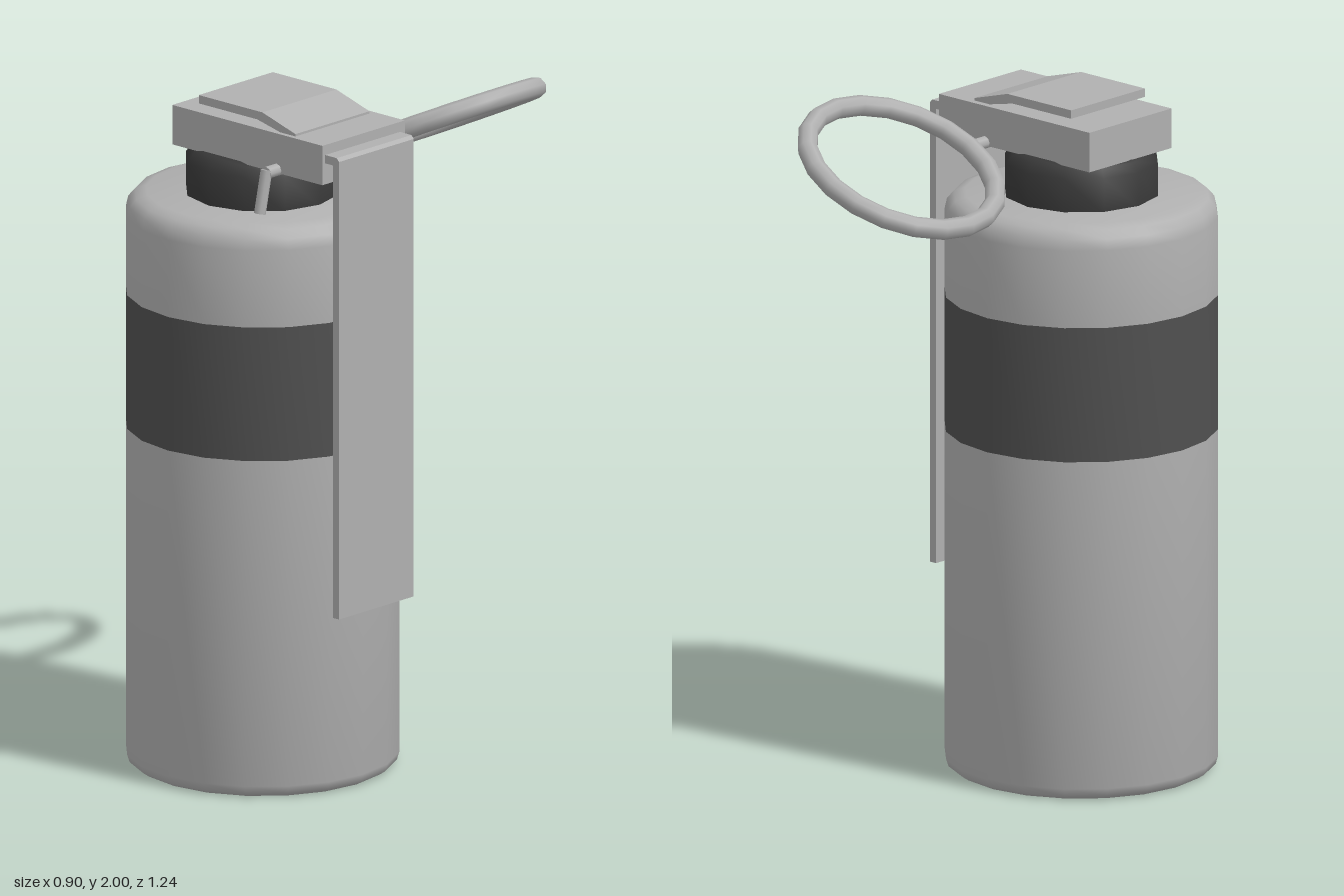
import * as THREE from 'three';
import { toCreasedNormals } from 'three/addons/utils/BufferGeometryUtils.js';

export function createModel() {
  const group = new THREE.Group();
  const mat = (name, color) => {
    const m = new THREE.MeshStandardMaterial({ color });
    m.name = name;
    return m;
  };
  const metal = mat('light grey metal', 0xb0b0b0);
  const dark = mat('dark grey band', 0x505050);
  const black = mat('black collar', 0x383838);
  const AXIS_X = -0.055, AXIS_Z = 0.22;

  const add = (name, geometry, material) => {
    const mesh = new THREE.Mesh(geometry, material);
    mesh.name = name;
    group.add(mesh);
    return mesh;
  };
  // Turned part on the canister axis, profile listed from bottom to top
  const turned = (name, profile, sides, material) => {
    const points = profile.map(([r, y]) => new THREE.Vector2(r, y));
    const geo = toCreasedNormals(new THREE.LatheGeometry(points, sides), 0.85);
    add(name, geo, material).position.set(AXIS_X, 0, AXIS_Z);
  };
  const box = (name, x0, x1, y0, y1, z0, z1) =>
    add(name, new THREE.BoxGeometry(x1 - x0, y1 - y0, z1 - z0), metal)
      .position.set((x0 + x1) / 2, (y0 + y1) / 2, (z0 + z1) / 2);
  // Flat outline in x and y, given depth between z0 and z1
  const slab = (name, outline, z0, z1) => {
    const shape = new THREE.Shape(outline.map(([x, y]) => new THREE.Vector2(x, y)));
    const geo = new THREE.ExtrudeGeometry(shape, { depth: z1 - z0, bevelEnabled: false });
    add(name, geo.translate(0, 0, z0), metal);
  };
  // Round rod between two points
  const rod = (name, a, b, radius) => {
    const from = new THREE.Vector3(...a), dir = new THREE.Vector3(...b).sub(from);
    const mesh = add(name, new THREE.CylinderGeometry(radius, radius, dir.length(), 8), metal);
    mesh.position.copy(from).addScaledVector(dir, 0.5);
    mesh.quaternion.setFromUnitVectors(new THREE.Vector3(0, 1, 0), dir.normalize());
  };

  // Canister: lower wall, painted band, shoulder
  turned('lowerBody', [[0, 0], [0.37, 0], [0.388, 0.012], [0.395, 0.035], [0.395, 1.01]], 20, metal);
  turned('bodyBand', [[0.395, 1.01], [0.395, 1.41]], 20, dark);
  turned('upperBody', [[0.395, 1.41], [0.395, 1.64], [0.388, 1.672], [0.368, 1.695],
    [0.335, 1.706], [0, 1.706]], 20, metal);

  // Collar under the cap
  turned('collar', [[0.225, 1.7], [0.225, 1.805], [0.205, 1.832], [0.19, 1.842], [0, 1.842]], 12, black);

  // Cap with the bent plate on top
  box('cap', -0.25, 0.34, 1.837, 1.955, 0.045, 0.39);
  slab('topPlate', [[-0.16, 1.975], [0.07, 1.975], [0.16, 1.955], [0.22, 1.95],
    [0.22, 1.962], [0.09, 2], [-0.16, 2]], 0.065, 0.375);

  // Safety lever, bent out of the cap and hanging beside the body
  slab('lever', [[0.33, 1.9], [0.37, 1.9], [0.37, 0.545], [0.394, 0.545],
    [0.394, 1.915], [0.385, 1.925], [0.33, 1.925]], 0.065, 0.378);

  // Pin through the cap with its bent end
  rod('pin', [0.16, 1.846, -0.02], [0.16, 1.846, 0.435], 0.019);
  rod('pinBentEnd', [0.16, 1.855, 0.432], [0.16, 1.73, 0.46], 0.017);

  // Pull ring, tilted up towards the lever
  const ring = new THREE.TorusGeometry(0.286, 0.03, 8, 20);
  ring.rotateX(Math.PI / 2).rotateZ(0.45);
  add('pullRing', ring, metal).position.set(0.16, 1.845, -0.305);

  return group;
}
